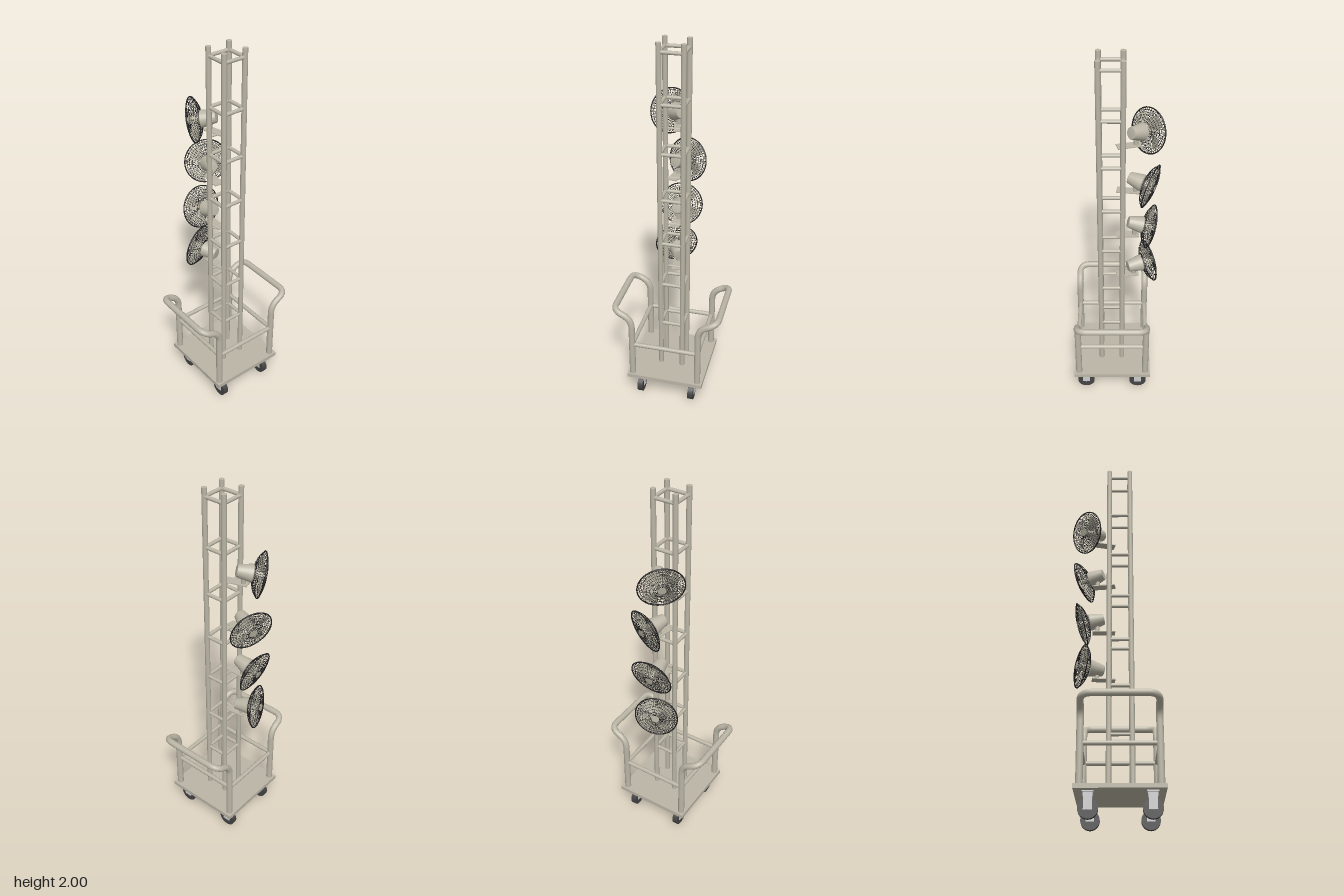
import * as THREE from 'three';

const V = (x, y, z) => new THREE.Vector3(x, y, z);
const paint = new THREE.MeshStandardMaterial({ color: 0xbab5a5 });
const paintThin = new THREE.MeshStandardMaterial({ color: 0xbab5a5, side: THREE.DoubleSide });
const steel = new THREE.MeshStandardMaterial({ color: 0xcccccc });
const black = new THREE.MeshStandardMaterial({ color: 0x222222 });
const rubber = new THREE.MeshStandardMaterial({ color: 0x444444 });

function add(parent, name, geometry, material = paint, x = 0, y = 0, z = 0) {
  const mesh = new THREE.Mesh(geometry, material);
  mesh.name = name;
  mesh.position.set(x, y, z);
  parent.add(mesh);
  return mesh;
}

// Straight round bar between two points
function bar(parent, name, a, b, r) {
  const mesh = add(parent, name, new THREE.CylinderGeometry(r, r, a.distanceTo(b), 14));
  mesh.position.copy(a).lerp(b, 0.5);
  mesh.quaternion.setFromUnitVectors(V(0, 1, 0), b.clone().sub(a).normalize());
}

// Polyline with rounded corners
function roundedPath(points, radius) {
  const path = new THREE.CurvePath();
  let last = points[0];
  for (let i = 1; i < points.length - 1; i++) {
    const p = points[i];
    const before = p.clone().add(points[i - 1].clone().sub(p).setLength(radius));
    const after = p.clone().add(points[i + 1].clone().sub(p).setLength(radius));
    path.add(new THREE.LineCurve3(last, before));
    path.add(new THREE.QuadraticBezierCurve3(before, p, after));
    last = after;
  }
  path.add(new THREE.LineCurve3(last, points[points.length - 1]));
  return path;
}

// One caster: swivel plate, fork and wheel
function addCaster(parent, x, z) {
  const caster = new THREE.Group();
  caster.name = 'caster';
  caster.position.set(x, 0, z);
  add(caster, 'casterPlate', new THREE.BoxGeometry(0.05, 0.008, 0.055), steel, 0, 0.126, 0);
  add(caster, 'forkCrown', new THREE.BoxGeometry(0.04, 0.022, 0.046), steel, 0, 0.111, 0);
  for (const s of [-1, 1])
    add(caster, 'forkSide', new THREE.BoxGeometry(0.004, 0.075, 0.042), steel, s * 0.018, 0.078, 0);
  const wheel = add(caster, 'wheel', new THREE.CylinderGeometry(0.048, 0.048, 0.03, 28), rubber, 0, 0.048, 0);
  wheel.rotation.z = Math.PI / 2;
  const axle = add(caster, 'axle', new THREE.CylinderGeometry(0.008, 0.008, 0.042, 12), steel, 0, 0.048, 0);
  axle.rotation.z = Math.PI / 2;
  parent.add(caster);
}

// Domed wire guard: radial wires and rings following one profile
function addGuard(fan, name, innerR, innerZ, rimZ, rimR) {
  const guard = new THREE.Group();
  guard.name = name;
  const bulge = (innerZ - rimZ) * 0.35;
  const profile = new THREE.QuadraticBezierCurve3(
    V(innerR, 0, innerZ), V((innerR + rimR) / 2 + 0.012, 0, (innerZ + rimZ) / 2 + bulge), V(rimR, 0, rimZ));
  const wire = new THREE.TubeGeometry(profile, 6, 0.0008, 3);
  for (let i = 0; i < 48; i++)
    add(guard, 'radialWire', wire, black).rotation.z = (i / 48) * Math.PI * 2;
  for (let i = 0; i < 6; i++) {
    const p = profile.getPoint(i / 6);
    add(guard, 'ringWire', new THREE.TorusGeometry(p.x, 0.0008, 3, 36), black, 0, 0, p.z);
  }
  fan.add(guard);
}

// Wide twisted blade bent from a flat grid
function bladeGeometry() {
  const g = new THREE.PlaneGeometry(1, 1, 6, 5);
  const p = g.attributes.position;
  for (let i = 0; i < p.count; i++) {
    const u = p.getX(i) + 0.5, v = p.getY(i);
    const r = 0.018 + 0.08 * u * (1 - 0.35 * v * v);
    const angle = v * (0.6 + 0.35 * Math.sin(u * Math.PI * 0.8)) + u * 0.25;
    p.setXYZ(i, r * Math.cos(angle), r * Math.sin(angle), v * (0.026 - 0.008 * u));
  }
  g.computeVertexNormals();
  return g;
}

// Fan head on its bracket; yaw and pitch in degrees from straight back
function addFan(parent, y, armY, yawDeg, pitchDeg) {
  const yaw = THREE.MathUtils.degToRad(yawDeg), pitch = THREE.MathUtils.degToRad(pitchDeg);
  const fan = new THREE.Group();
  fan.name = 'fan';
  fan.position.set(0, y, -0.09);
  fan.lookAt(fan.position.clone().add(
    V(Math.sin(yaw) * Math.cos(pitch), Math.sin(pitch), -Math.cos(yaw) * Math.cos(pitch))));

  const motorProfile = [[0, -0.035], [0.027, -0.035], [0.03, -0.032], [0.045, 0.04], [0.042, 0.046], [0, 0.046]];
  const motor = add(fan, 'motorHousing',
    new THREE.LatheGeometry(motorProfile.map(([r, h]) => new THREE.Vector2(r, h)), 24));
  motor.rotation.x = Math.PI / 2;
  const hub = add(fan, 'hub', new THREE.CylinderGeometry(0.02, 0.022, 0.04, 18), paint, 0, 0, 0.075);
  hub.rotation.x = Math.PI / 2;
  const blade = bladeGeometry();
  for (let i = 0; i < 4; i++)
    add(fan, 'blade', blade, paintThin, 0, 0, 0.08).rotation.z = (i * Math.PI) / 2 + 0.4;

  add(fan, 'guardRim', new THREE.TorusGeometry(0.114, 0.0032, 8, 48), black, 0, 0, 0.085);
  addGuard(fan, 'frontGuard', 0.02, 0.108, 0.087, 0.114);
  addGuard(fan, 'rearGuard', 0.036, 0.048, 0.083, 0.114);
  const cap = add(fan, 'guardCap', new THREE.CylinderGeometry(0.021, 0.021, 0.003, 20), paint, 0, 0, 0.108);
  cap.rotation.x = Math.PI / 2;
  parent.add(fan);

  // Bracket reaching out from the tower
  const bracket = new THREE.Group();
  bracket.name = 'fanBracket';
  bracket.position.set(0, armY, -0.09);
  bracket.rotation.y = -yaw * 0.35;
  add(bracket, 'bracketPlate', new THREE.BoxGeometry(0.05, 0.005, 0.12), paint, 0, 0, 0.035);
  add(bracket, 'bracketPost', new THREE.CylinderGeometry(0.012, 0.012, y - armY, 12), paint, 0, (y - armY) / 2, 0);
  parent.add(bracket);
  bar(parent, 'bracketCrossbar', V(-0.053, armY, -0.027), V(0.068, armY, -0.027), 0.006);
}

export function createModel() {
  const model = new THREE.Group();
  model.name = 'fanTowerCart';

  // Cart base and wheels
  add(model, 'platform', new THREE.BoxGeometry(0.425, 0.022, 0.433), paint, 0.002, 0.139, 0.028);
  for (const x of [-0.145, 0.147]) for (const z of [-0.12, 0.18]) addCaster(model, x, z);

  // Push handles, flared outward at the top
  const zBack = -0.16, zFront = 0.218;
  for (const s of [-1, 1]) {
    const path = roundedPath([
      V(s * 0.185, 0.14, zFront), V(s * 0.185, 0.51, zFront), V(s * 0.287, 0.558, zFront),
      V(s * 0.287, 0.558, zBack), V(s * 0.185, 0.51, zBack), V(s * 0.185, 0.14, zBack)], 0.055);
    add(model, 'handle', new THREE.TubeGeometry(path, 90, 0.0175, 14));
    bar(model, 'sideRail', V(s * 0.183, 0.345, zBack), V(s * 0.183, 0.345, zFront), 0.012);
  }
  for (const z of [zBack, zFront])
    bar(model, 'crossRail', V(-0.185, 0.345, z), V(0.185, 0.345, z), 0.012);

  // Lattice tower
  const xs = [-0.053, 0.068], zs = [-0.027, 0.089];
  for (const x of xs) for (const z of zs) bar(model, 'towerPost', V(x, 0.14, z), V(x, 2, z), 0.0135);
  for (let i = 0; i < 7; i++) {
    const y = 0.427 + i * 0.2547;
    for (const z of zs) bar(model, 'towerRung', V(xs[0], y, z), V(xs[1], y, z), 0.0095);
    for (const x of xs) bar(model, 'towerRung', V(x, y, zs[0]), V(x, y, zs[1]), 0.0095);
  }

  // Four fans, each aimed differently
  addFan(model, 1.605, 1.54, -42, -13);
  addFan(model, 1.337, 1.27, 22, -13);
  addFan(model, 1.07, 0.997, -2, -16);
  addFan(model, 0.79, 0.732, -20, 5);
  return model;
}
